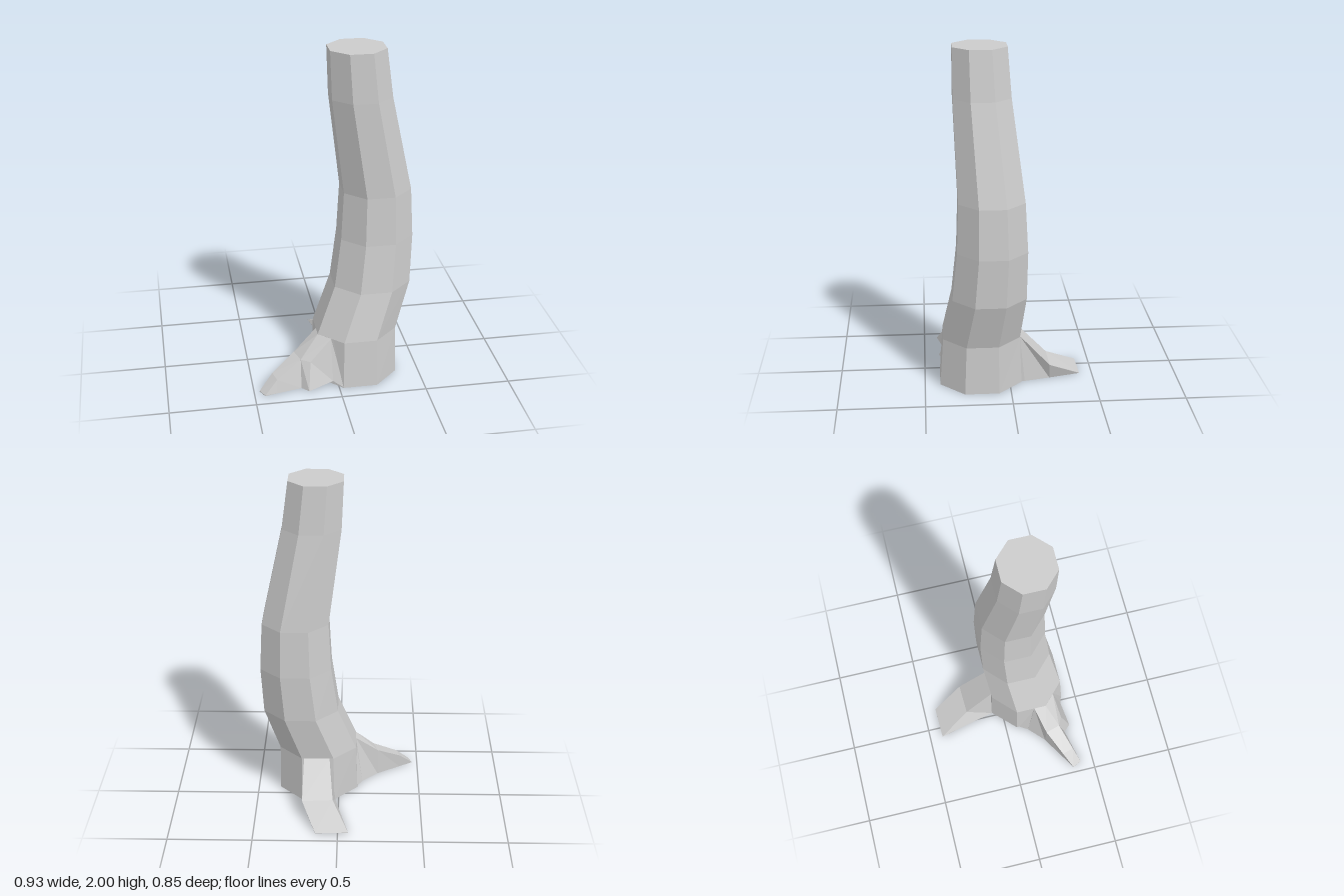
import * as THREE from 'three';

const bark = new THREE.MeshStandardMaterial({ color: 0xcccccc, flatShading: true });

// Skin a list of equal-length loops (counter-clockwise seen from the last one) and cap both ends.
function loft(name, sections, fan = 0) {
  const pos = [];
  const tri = (a, b, c) => pos.push(...a, ...b, ...c);
  const n = sections[0].length;
  for (let i = 0; i < sections.length - 1; i++) {
    const a = sections[i], b = sections[i + 1];
    for (let j = 0; j < n; j++) {
      const k = (j + 1) % n;
      tri(a[j], a[k], b[k]);
      tri(a[j], b[k], b[j]);
    }
  }
  const first = sections[0], last = sections[sections.length - 1];
  for (let j = 1; j < n - 1; j++) {
    const p = (fan + j) % n, q = (fan + j + 1) % n;
    tri(last[fan], last[p], last[q]);
    tri(first[fan], first[q], first[p]);
  }
  const geo = new THREE.BufferGeometry();
  geo.setAttribute('position', new THREE.Float32BufferAttribute(pos, 3));
  geo.computeVertexNormals();
  const mesh = new THREE.Mesh(geo, bark);
  mesh.name = name;
  return mesh;
}

// Octagon with flat sides on its bounding box
function octagon([y, x0, x1, z0, z1]) {
  const r = 1 / Math.cos(Math.PI / 8);
  return Array.from({ length: 8 }, (_, i) => {
    const a = (i + 0.5) * Math.PI / 4;
    return [
      (x0 + x1) / 2 + r * Math.cos(a) * (x1 - x0) / 2,
      y,
      (z0 + z1) / 2 - r * Math.sin(a) * (z1 - z0) / 2,
    ];
  });
}

export function createModel() {
  const group = new THREE.Group();
  group.name = 'treeTrunk';

  // Bent trunk: height, x range, z range of each ring
  const rings = [
    [0, -0.115, 0.365, -0.07, 0.41],
    [0.29, -0.105, 0.36, -0.06, 0.39],
    [0.57, 0.005, 0.45, -0.09, 0.335],
    [0.86, 0.045, 0.465, -0.095, 0.305],
    [1.15, 0.06, 0.45, -0.08, 0.295],
    [1.72, -0.015, 0.325, -0.01, 0.315],
    [2, -0.027, 0.287, 0.01, 0.314],
  ];
  group.add(loft('trunk', rings.map(octagon)));

  // Front root, wide part: back bottom, middle bottom, front bottom, front top, middle top, back top
  group.add(loft('frontRootBase', [
    [[-0.11, 0, 0.08], [0, 0, 0.3], [0.03, 0, 0.41], [0.034, 0.288, 0.388], [-0.1, 0.288, 0.255], [-0.1, 0.288, 0.185]],
    [[-0.147, 0, 0.14], [-0.12, 0, 0.3], [-0.035, 0.04, 0.388], [-0.037, 0.29, 0.325], [-0.105, 0.29, 0.26], [-0.105, 0.29, 0.185]],
    [[-0.243, 0, 0.23], [-0.22, 0, 0.37], [-0.18, 0, 0.412], [-0.163, 0.16, 0.352], [-0.217, 0.167, 0.325], [-0.245, 0.17, 0.235]],
  ], 4));

  // Front root, narrow end: back bottom, front bottom, front top, back top
  group.add(loft('frontRootTip', [
    [[-0.243, 0, 0.23], [-0.22, 0, 0.37], [-0.217, 0.167, 0.325], [-0.245, 0.17, 0.235]],
    [[-0.385, 0, 0.316], [-0.365, 0, 0.402], [-0.365, 0.08, 0.383], [-0.385, 0.085, 0.312]],
    [[-0.467, 0, 0.365], [-0.44, 0, 0.42], [-0.44, 0.004, 0.42], [-0.467, 0.004, 0.365]],
  ]));

  // Back root: left bottom, right bottom, right top, left top
  group.add(loft('backRoot', [
    [[0.215, 0, -0.06], [0.02, 0, -0.04], [0.055, 0.288, -0.055], [0.21, 0.288, -0.055]],
    [[0.215, 0, -0.09], [0.02, 0, -0.068], [0.055, 0.29, -0.06], [0.21, 0.29, -0.06]],
    [[0.18, 0, -0.24], [-0.02, 0, -0.24], [0.033, 0.105, -0.232], [0.217, 0.1, -0.238]],
    [[0.133, 0, -0.425], [-0.063, 0, -0.42], [-0.063, 0.003, -0.42], [0.133, 0.003, -0.425]],
  ]));

  return group;
}
